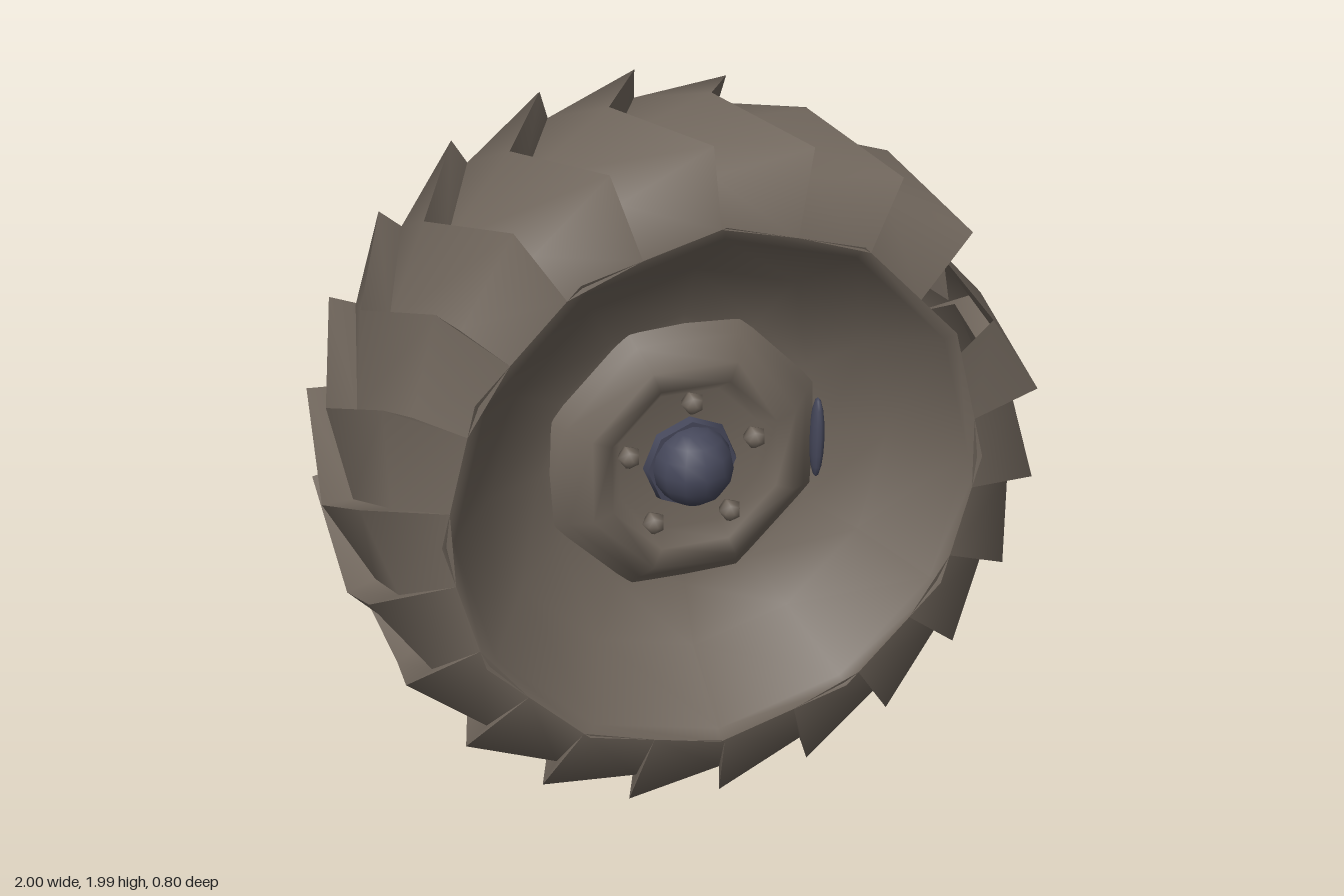
import * as THREE from 'three';

const rad = THREE.MathUtils.degToRad;
const TEETH = 22;
const PITCH = (Math.PI * 2) / TEETH;
const PHASE = rad(100);
const FRONT_LAG = rad(9);
const BACK_LAG = rad(11);
const GAP_TOOTH = 18; // this tooth has lost its front half

// the rim where tread meets dish is a coarse polygon
const RIM_SIDES = 12;
const RIM_RADIUS = 0.77;
function rimRadius(angle) {
  const step = (Math.PI * 2) / RIM_SIDES;
  const local = THREE.MathUtils.euclideanModulo(angle, step) - step / 2;
  return (RIM_RADIUS * Math.cos(step / 2)) / Math.cos(local);
}

// tread stations across the width: z, radius at the tip, radius at the foot, angular lag
const ROWS = [
  [-0.4, null, null, BACK_LAG],
  [-0.35, 0.97, 0.89, BACK_LAG],
  [0, 1.0, 0.915, 0],
  [0.35, 0.97, 0.89, FRONT_LAG],
  [0.4, null, null, FRONT_LAG],
];

// a null radius lies on the rim polygon
function polar(r, a, z) {
  const radius = r ?? rimRadius(a);
  return [radius * Math.cos(a), radius * Math.sin(a), z];
}

// strip between pairs of points, with its own smooth normals
function sheet(pairs) {
  const pos = [];
  const idx = [];
  pairs.forEach(([a, b], i) => {
    pos.push(...a, ...b);
    if (i > 0) {
      const n = i * 2;
      idx.push(n - 2, n, n - 1, n - 1, n, n + 1);
    }
  });
  const g = new THREE.BufferGeometry();
  g.setAttribute('position', new THREE.Float32BufferAttribute(pos, 3));
  g.setIndex(idx);
  g.computeVertexNormals();
  return g;
}

// profile of [radius, z] turned about the axle
function turned(profile, segments, phase) {
  const pts = profile.map(([r, z]) => new THREE.Vector2(r, z));
  return new THREE.LatheGeometry(pts, segments, phase + Math.PI / 2).rotateX(Math.PI / 2);
}

export function createModel() {
  const rubber = new THREE.MeshStandardMaterial({ color: 0x70665c, side: THREE.DoubleSide });
  rubber.name = 'dusty brown';
  const steel = new THREE.MeshStandardMaterial({ color: 0x45475a });
  steel.name = 'dark blue steel';

  const wheel = new THREE.Group();
  wheel.name = 'wheel';
  const add = (geometry, material, name, parent = wheel) => {
    const m = new THREE.Mesh(geometry, material);
    m.name = name;
    parent.add(m);
    return m;
  };

  // chevron tread: each tooth is a ramp that ends in a sharp drop
  const tread = new THREE.Group();
  tread.name = 'tread';
  wheel.add(tread);
  const backHalf = ROWS.slice(0, 3);
  for (let k = 0; k < TEETH; k++) {
    const a = PHASE + k * PITCH;
    const rampRows = k === GAP_TOOTH ? backHalf : ROWS;
    const dropRows = k === GAP_TOOTH || k === GAP_TOOTH + 1 ? backHalf : ROWS;
    add(sheet(rampRows.map(([z, hi, lo, lag]) =>
      [polar(hi, a - lag, z), polar(lo, a - lag + PITCH, z)])), rubber, 'treadRamp', tread);
    add(sheet(dropRows.map(([z, hi, lo, lag]) =>
      [polar(lo, a - lag, z), polar(hi, a - lag, z)])), rubber, 'treadDrop', tread);
  }

  // folded flap inside the gap left by the missing half tooth
  const flap = sheet([
    [polar(0.97, rad(34), 0), polar(0.97, rad(51), 0)],
    [[0.71, 0.42, 0.26], polar(RIM_RADIUS, rad(60), 0.4)],
  ]).toNonIndexed();
  flap.computeVertexNormals();
  add(flap, rubber, 'tornFlap', tread);

  // dished sides
  add(turned([[RIM_RADIUS, 0.4], [0.735, 0.385], [0.58, 0.18], [0.42, 0.1], [0.36, 0.09]],
    RIM_SIDES, 0), rubber, 'frontDish');
  add(turned([[RIM_RADIUS, -0.4], [0.735, -0.385], [0.6, -0.24], [0.35, -0.15], [0, -0.11]],
    RIM_SIDES, 0), rubber, 'backDish');

  // eight-sided raised hub ring with a recessed face
  add(turned([[0.44, 0.08], [0.38, 0.13], [0.32, 0.19], [0.26, 0.19], [0.22, 0.14], [0, 0.14]],
    8, Math.PI / 8), rubber, 'hubRing');

  // wheel bolts
  for (let i = 0; i < 5; i++) {
    const a = Math.PI / 2 + (i * Math.PI * 2) / 5;
    const bolt = add(new THREE.SphereGeometry(0.034, 5, 4).rotateX(Math.PI / 2), rubber, 'bolt');
    bolt.position.set(0.193 * Math.cos(a), 0.193 * Math.sin(a) - 0.01, 0.165);
  }

  // axle cap and the sliver of steel showing through the dish
  const collar = add(new THREE.CylinderGeometry(0.13, 0.14, 0.04, 8).rotateX(Math.PI / 2), steel, 'axleCollar');
  collar.position.set(0, -0.005, 0.145);
  const cap = add(new THREE.SphereGeometry(0.115, 12, 8), steel, 'axleCap');
  cap.position.set(0, -0.005, 0.165);
  const sliver = add(new THREE.SphereGeometry(1, 12, 8), steel, 'steelSliver');
  sliver.scale.set(0.02, 0.125, 0.03);
  sliver.position.set(0.395, -0.01, 0.115);

  wheel.position.y = 1;
  const model = new THREE.Group();
  model.name = 'treadedWheel';
  model.add(wheel);
  return model;
}
